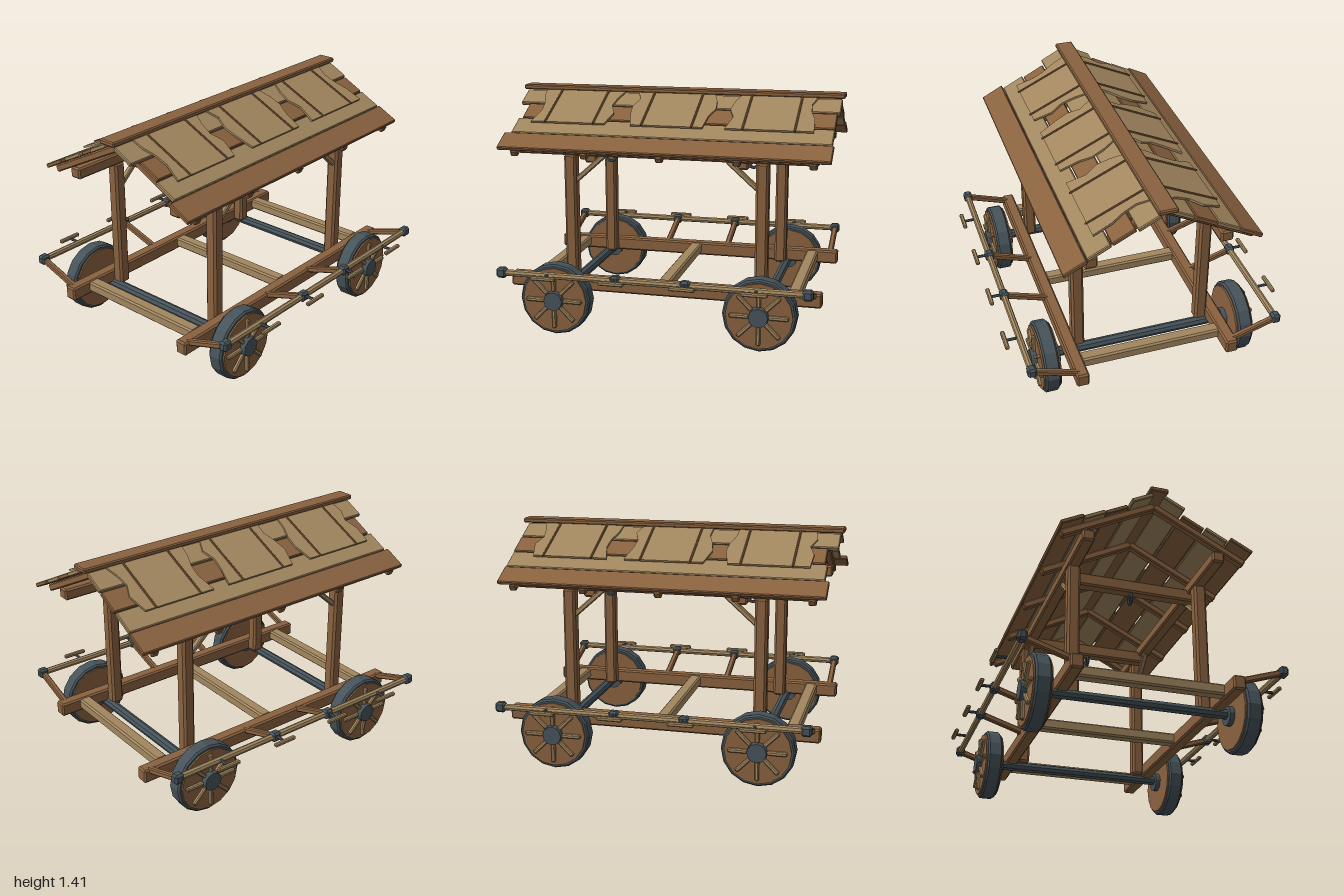
import * as THREE from 'three';
import { ConvexGeometry } from 'three/addons/geometries/ConvexGeometry.js';

const mat = (name, color, extra = {}) => {
  const m = new THREE.MeshStandardMaterial({ color, flatShading: true, ...extra });
  m.name = name;
  return m;
};

export function createModel() {
  const root = new THREE.Group();
  root.name = 'coveredCart';
  const brown = mat('brownWood', 0x8a623f);
  const tan = mat('tanWood', 0xa2875f);
  const iron = mat('darkIron', 0x46535a);

  const add = (parent, name, geo, material, x = 0, y = 0, z = 0) => {
    const m = new THREE.Mesh(geo, material);
    m.name = name;
    m.position.set(x, y, z);
    parent.add(m);
    return m;
  };

  // Box with every edge chamfered
  const timber = (w, h, d, c = 0.01) => {
    const pts = [];
    for (const i of [-1, 1]) for (const j of [-1, 1]) for (const k of [-1, 1]) {
      const X = i * w / 2, Y = j * h / 2, Z = k * d / 2;
      pts.push(new THREE.Vector3(X, Y - j * c, Z - k * c),
        new THREE.Vector3(X - i * c, Y, Z - k * c),
        new THREE.Vector3(X - i * c, Y - j * c, Z));
    }
    return new ConvexGeometry(pts);
  };

  // Timber or round pole laid between two points
  const between = (parent, name, a, b, geoOf, material) => {
    const A = new THREE.Vector3(...a), B = new THREE.Vector3(...b);
    const dir = B.clone().sub(A), mid = A.clone().add(B).multiplyScalar(0.5);
    const m = add(parent, name, geoOf(dir.length()), material, mid.x, mid.y, mid.z);
    m.quaternion.setFromUnitVectors(new THREE.Vector3(0, 1, 0), dir.normalize());
    return m;
  };
  const pole = (r, n = 8) => len => new THREE.CylinderGeometry(r, r, len, n);

  // Base frame
  for (const z of [-0.78, 0, 0.78]) add(root, 'crossBeam', timber(0.86, 0.065, 0.075), tan, 0, 0.283, z);
  for (const s of [-1, 1]) {
    add(root, 'sideSill', timber(0.075, 0.085, 1.89), brown, s * 0.458, 0.277, 0);
    add(root, 'topPlate', timber(0.075, 0.07, 1.8), brown, s * 0.39, 1.08, 0);
    for (const t of [-1, 1]) {
      add(root, 'post', timber(0.075, 0.81, 0.075, 0.013), brown, s * 0.39, 0.645, t * 0.578);
      between(root, 'cornerBrace', [s * 0.39, 0.89, t * 0.55], [s * 0.39, 1.05, t * 0.37],
        len => timber(0.035, len, 0.03, 0.006), tan);
    }
  }

  // Tie beams with a hanging ring under each
  for (const z of [-0.455, 0.455]) {
    add(root, 'tieBeam', timber(0.8, 0.08, 0.075), brown, 0, 1.04, z);
    const ring = add(root, 'hangingRing', new THREE.TorusGeometry(0.03, 0.01, 6, 12), iron, 0, 0.968, z);
    ring.rotation.y = Math.PI / 2;
  }

  // Wheels and axles
  const tire = [[0.18, -0.045], [0.205, -0.045], [0.215, -0.035], [0.215, 0.035], [0.205, 0.045], [0.18, 0.045]]
    .map(p => new THREE.Vector2(...p));
  for (const z of [-0.61, 0.61]) {
    const axle = add(root, 'axle', new THREE.CylinderGeometry(0.03, 0.03, 1.2, 8), iron, 0, 0.225, z);
    axle.rotation.z = Math.PI / 2;
    for (const s of [-1, 1]) {
      const wheel = new THREE.Group();
      wheel.name = 'wheel';
      wheel.position.set(s * 0.602, 0.217, z);
      wheel.rotation.z = -s * Math.PI / 2; // local +y points outward
      root.add(wheel);
      add(wheel, 'tire', new THREE.LatheGeometry(tire, 16), iron);
      add(wheel, 'wheelDisc', new THREE.CylinderGeometry(0.194, 0.194, 0.11, 16), brown);
      add(wheel, 'outerHub', new THREE.CylinderGeometry(0.056, 0.06, 0.04, 12), iron, 0, 0.068, 0);
      add(wheel, 'innerHub', new THREE.CylinderGeometry(0.058, 0.058, 0.04, 12), iron, 0, -0.065, 0);
      for (let i = 0; i < 8; i++) {
        const a = i * Math.PI / 4;
        const spoke = add(wheel, 'spoke', timber(0.115, 0.03, 0.024, 0.006), tan,
          Math.cos(a) * 0.113, 0.059, -Math.sin(a) * 0.113);
        spoke.rotation.y = a;
      }
    }
  }

  // Side rails carried by slanting arms, with push handles
  for (const s of [-1, 1]) {
    between(root, 'sideRail', [s * 0.745, 0.395, -0.9], [s * 0.745, 0.395, 0.9], pole(0.02), tan);
    for (const z of [-0.895, -0.205, 0.205, 0.895]) {
      between(root, 'railArm', [s * 0.45, 0.295, z], [s * 0.74, 0.39, z],
        len => timber(0.035, len, 0.035, 0.007), brown);
      add(root, 'railJoint', timber(0.052, 0.06, 0.06, 0.012), iron, s * 0.745, 0.395, z);
    }
    for (const z of [-0.61, -0.205, 0.205, 0.61]) {
      between(root, 'handlePeg', [s * 0.745, 0.4, z], [s * 0.83, 0.4, z], pole(0.009, 6), iron);
      add(root, 'pushHandle', timber(0.025, 0.024, 0.15, 0.006), tan, s * 0.832, 0.402, z);
    }
  }

  // Roof: rafters and planks, then overlay panels held by thin battens
  const pitch = Math.atan(0.515), cosP = Math.cos(pitch);
  const slope = (s, y, angle) => {
    const g = new THREE.Group();
    g.name = s > 0 ? 'leftRoofSlope' : 'rightRoofSlope';
    g.position.y = y;
    g.rotation.z = -s * angle;
    root.add(g);
    return g;
  };
  // plank: centre x, width, material, then back and front ends for right and left slopes
  const planks = [
    [0.5, 0.132, brown, [-0.97, 0.96], [-0.98, 0.98]],
    [0.366, 0.13, tan, [-0.965, 0.935], [-0.97, 0.94]],
    [0.23, 0.13, brown, [-0.97, 0.92], [-0.97, 0.92]],
    [0.095, 0.125, tan, [-0.97, 0.98], [-0.985, 0.98]],
  ];
  const jag = [0.02, 0.012, -0.015, -0.022, 0.008, 0.022, -0.01];
  for (const s of [-1, 1]) {
    const rafters = slope(s, 1.345, pitch);
    for (const z of [-0.88, -0.45, 0, 0.45, 0.88])
      add(rafters, 'rafter', timber(0.62, 0.042, 0.045, 0.007), brown, s * 0.308, 0, z);

    const boards = slope(s, 1.385, pitch);
    for (const [x, w, m, right, left] of planks) {
      const [z0, z1] = s > 0 ? left : right;
      add(boards, 'roofPlank', timber(w / cosP, 0.025, z1 - z0, 0.005), m, s * x / cosP, 0, (z0 + z1) / 2);
    }

    const cover = slope(s, 1.412, Math.atan(0.47));
    [-0.6, 0, 0.595].forEach((zc, p) => {
      // Panel with ragged front and back edges
      const front = [], back = [];
      [0.05, 0.13, 0.21, 0.29, 0.41].forEach((u, i) => {
        const k = i + p * 2 + (s > 0 ? 3 : 0);
        front.push(new THREE.Vector2(s * u, 0.235 + jag[k % 7]));
        back.unshift(new THREE.Vector2(s * u, -0.235 + jag[(k + 3) % 7]));
      });
      const geo = new THREE.ExtrudeGeometry(new THREE.Shape([...front, ...back]),
        { depth: 0.012, bevelEnabled: false });
      geo.rotateX(Math.PI / 2);
      add(cover, 'roofPanel', geo, tan, 0, -0.004, zc);
      for (const t of [-0.15, 0.15])
        add(cover, 'batten', timber(0.41, 0.01, 0.012, 0.003), brown, s * 0.215, 0, zc + t);
    });
  }
  add(root, 'ridgeCap', timber(0.11, 0.03, 2, 0.007), brown, 0, 1.396, 0);

  return root;
}
